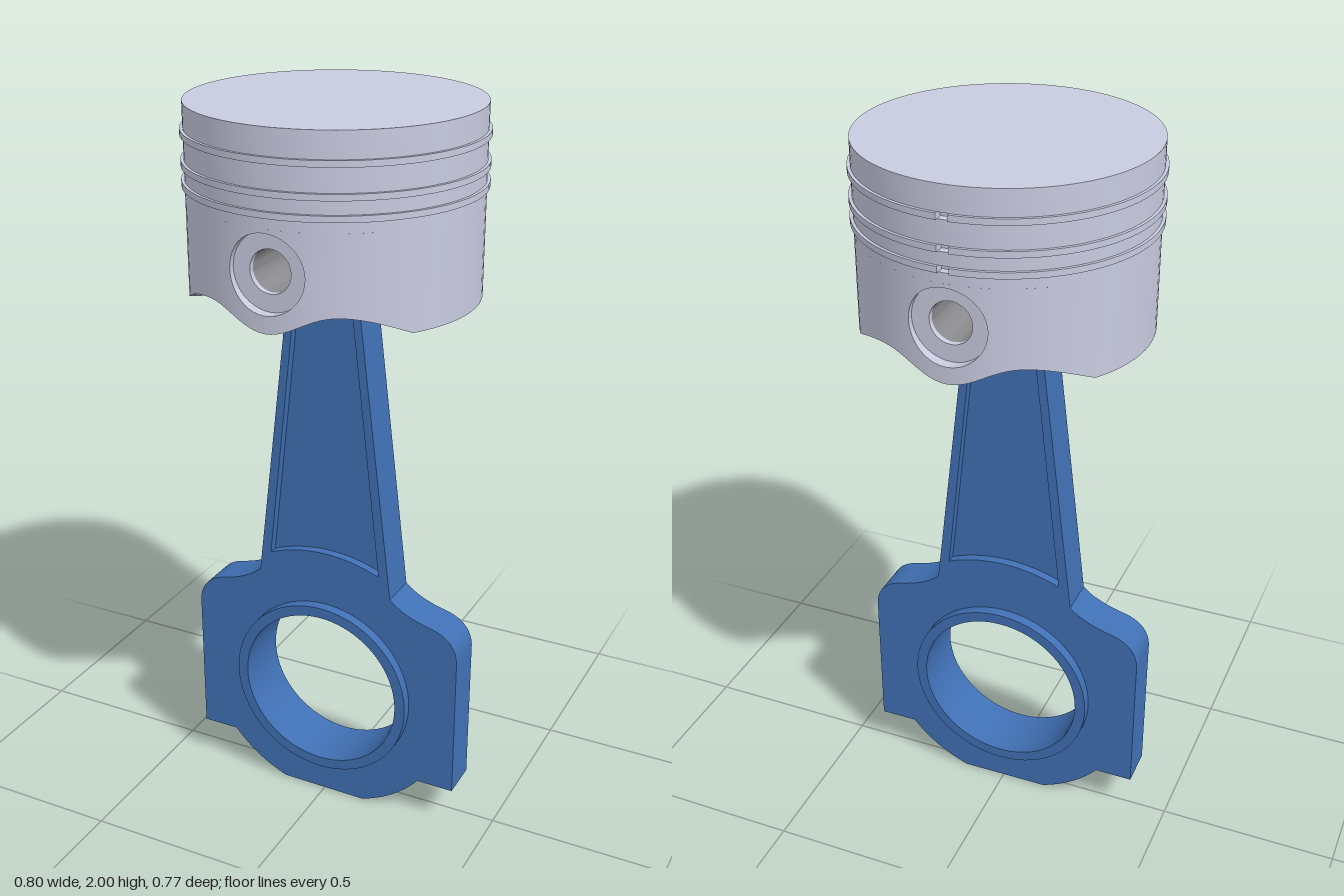
import * as THREE from 'three';
import { toCreasedNormals } from 'three/addons/utils/BufferGeometryUtils.js';

const R = 0.375, R_IN = 0.33;          // piston outer and inner radius
const PIN_Y = 1.655, PIN_R = 0.1;      // wrist pin axis and radius
const CRANK_Y = 0.36;                  // big end axis
const SKIRT_TOP = 1.765;

const alloy = new THREE.MeshStandardMaterial({ color: 0xc8cbe0 });
const blue = new THREE.MeshStandardMaterial({ color: 0x4070b4 });
const steel = new THREE.MeshStandardMaterial({ color: 0x8a8a8c });

function part(name, geometry, material) {
  const mesh = new THREE.Mesh(toCreasedNormals(geometry, 0.5), material);
  mesh.name = name;
  return mesh;
}

// Extrusion centred on z = 0
function slab(shape, depth) {
  return new THREE.ExtrudeGeometry(shape, { depth, bevelEnabled: false, curveSegments: 40 })
    .translate(0, 0, -depth / 2);
}

function circlePath(r, y = 0) {
  return new THREE.Path().absarc(0, y, r, 0, Math.PI * 2, true);
}

function tube(outer, inner, depth) {
  const shape = new THREE.Shape().absarc(0, 0, outer, 0, Math.PI * 2, false);
  shape.holes.push(circlePath(inner));
  return slab(shape, depth);
}

// Closed outline from its right half, which runs bottom to top along x >= 0
function mirrored(half, Type) {
  const right = half.getPoints(16);
  const left = right.slice(1, -1).reverse().map((p) => new THREE.Vector2(-p.x, p.y));
  return new Type(right.concat(left));
}

// Lower edge of the skirt: a lobe under the pin with an arch on each side
function skirtBottom(x) {
  const a = Math.abs(x);
  if (a < 0.17) return 1.51 + 0.026 * (1 - Math.cos(Math.PI * a / 0.17));
  return 1.562 - 0.052 * ((a - 0.17) / 0.14) ** 2;
}

// Skirt wall: vertical strips around half a turn, repeated at the back
function skirtGeometry() {
  const columns = [];
  const addFront = (x) => {
    const a = Math.abs(x), t = Math.max(0, (a - PIN_R) / (0.31 - PIN_R));
    const xi = Math.sign(x) * (a - t * 0.31 * (1 - R_IN / R));
    columns.push({
      o: [x, Math.sqrt(R * R - x * x)],
      i: [xi, Math.sqrt(R_IN * R_IN - xi * xi)],
      bottom: skirtBottom(x),
      hole: Math.sqrt(Math.max(0, PIN_R * PIN_R - x * x)),
      inHole: a <= PIN_R + 1e-6,
    });
  };
  for (let k = 0; k < 12; k++) addFront(-0.31 + 0.21 * k / 12);
  for (let k = 0; k <= 20; k++) addFront(-PIN_R * Math.cos(Math.PI * k / 20));
  for (let k = 1; k <= 12; k++) addFront(PIN_R + 0.21 * k / 12);
  const edge = Math.asin(0.31 / R);
  for (let k = 1; k <= 16; k++) {
    const t = edge + (Math.PI - 2 * edge) * k / 16, s = Math.sin(t), c = Math.cos(t);
    columns.push({ o: [R * s, R * c], i: [R_IN * s, R_IN * c], bottom: 1.51, hole: 0, inHole: false });
  }

  const pos = [];
  const quad = (a, b, c, d) => pos.push(...a, ...b, ...c, ...a, ...c, ...d);
  for (const sign of [1, -1]) {
    const at = (p, y) => [sign * p[0], y, sign * p[1]];
    const strip = (a, b, lowA, lowB, highA, highB, capTop) => {
      quad(at(a.o, lowA), at(b.o, lowB), at(b.o, highB), at(a.o, highA));
      quad(at(b.i, lowB), at(a.i, lowA), at(a.i, highA), at(b.i, highB));
      quad(at(a.o, lowA), at(a.i, lowA), at(b.i, lowB), at(b.o, lowB));
      if (capTop) quad(at(a.o, highA), at(b.o, highB), at(b.i, highB), at(a.i, highA));
    };
    for (let k = 0; k + 1 < columns.length; k++) {
      const a = columns[k], b = columns[k + 1];
      if (a.inHole && b.inHole) {
        strip(a, b, a.bottom, b.bottom, PIN_Y - a.hole, PIN_Y - b.hole, true);
        strip(a, b, PIN_Y + a.hole, PIN_Y + b.hole, SKIRT_TOP, SKIRT_TOP, false);
      } else {
        strip(a, b, a.bottom, b.bottom, SKIRT_TOP, SKIRT_TOP, false);
      }
    }
  }
  const g = new THREE.BufferGeometry();
  g.setAttribute('position', new THREE.Float32BufferAttribute(pos, 3));
  return g;
}

function createPiston() {
  const piston = new THREE.Group();
  piston.name = 'piston';
  const ringHeights = [1.8, 1.85, 1.926], ringHalf = 0.008;

  // Crown with ring grooves
  const profile = [[0, 1.87], [R_IN, 1.87], [R_IN, SKIRT_TOP], [R, SKIRT_TOP]];
  for (const y of ringHeights) {
    profile.push([R, y - ringHalf], [0.355, y - ringHalf], [0.355, y + ringHalf], [R, y + ringHalf]);
  }
  profile.push([R, 2], [0, 2]);
  piston.add(part('crown', new THREE.LatheGeometry(profile.map((p) => new THREE.Vector2(...p)), 96), alloy));
  piston.add(part('skirt', skirtGeometry(), alloy));

  // Split rings with the gap at the back
  const gap = 0.038, start = Math.PI / 2 + gap, end = Math.PI * 2.5 - gap;
  const ringShape = new THREE.Shape();
  ringShape.absarc(0, 0, 0.383, start, end, false);
  ringShape.absarc(0, 0, 0.358, end, start, true);
  for (const y of ringHeights) {
    const ring = part('pistonRing', slab(ringShape, ringHalf * 2).rotateX(-Math.PI / 2), alloy);
    ring.position.y = y;
    piston.add(ring);
  }

  // Hollow wrist pin and its end collars
  const pin = part('wristPin', tube(0.098, 0.055, 0.66), steel);
  pin.position.y = PIN_Y;
  piston.add(pin);
  for (const side of [1, -1]) {
    const collar = part('pinCollar', tube(PIN_R, 0.055, 0.015), alloy);
    collar.position.set(0, PIN_Y, side * 0.3375);
    piston.add(collar);
  }
  return piston;
}

function createRod() {
  const rod = new THREE.Group();
  rod.name = 'connectingRod';
  rod.position.z = 0.02;

  // Outline from the cap, past the shoulder and shank, to the small end
  const half = new THREE.Path().moveTo(0, 0);
  half.absarc(0, CRANK_Y, 0.38, Math.atan2(-0.36, 0.122), Math.atan2(-0.24, 0.295), false);
  half.lineTo(0.4, 0.12).lineTo(0.4, 0.54);
  half.quadraticCurveTo(0.395, 0.605, 0.33, 0.625);
  half.quadraticCurveTo(0.24, 0.645, 0.2, 0.685);
  half.lineTo(0.1, 1.524);
  half.absarc(0, PIN_Y, 0.165, Math.atan2(-0.131, 0.1), Math.PI / 2, false);
  const outline = mirrored(half, THREE.Shape);

  // Pocket that gives the shank its I section
  const pocketHalf = new THREE.Path().moveTo(0, 0.78);
  for (let k = 1; k <= 10; k++) {
    const x = 0.0165 * k;
    pocketHalf.lineTo(x, CRANK_Y + Math.sqrt(0.42 ** 2 - x * x));
  }
  for (let k = 10; k >= 0; k--) {
    const x = 0.008 * k;
    pocketHalf.lineTo(x, PIN_Y - Math.sqrt(0.167 ** 2 - x * x));
  }
  outline.holes.push(circlePath(0.25, CRANK_Y), circlePath(0.12, PIN_Y), mirrored(pocketHalf, THREE.Path));
  rod.add(part('rodBody', slab(outline, 0.11), blue));
  rod.add(part('shankWeb', slab(mirrored(pocketHalf, THREE.Shape), 0.06), blue));

  // Bearing bosses
  const bigEnd = part('bigEndBoss', tube(0.263, 0.233, 0.17), blue);
  bigEnd.position.y = CRANK_Y;
  const smallEnd = part('smallEndBoss', tube(0.152, 0.098, 0.17), blue);
  smallEnd.position.y = PIN_Y;
  rod.add(bigEnd, smallEnd);

  // Bolt ends under the shoulders
  for (const side of [1, -1]) {
    const bolt = part('boltEnd', new THREE.CylinderGeometry(0.022, 0.022, 0.02, 24), blue);
    bolt.position.set(side * 0.347, 0.126, 0);
    rod.add(bolt);
  }
  return rod;
}

export function createModel() {
  const model = new THREE.Group();
  model.name = 'pistonAssembly';
  model.add(createPiston(), createRod());
  return model;
}
